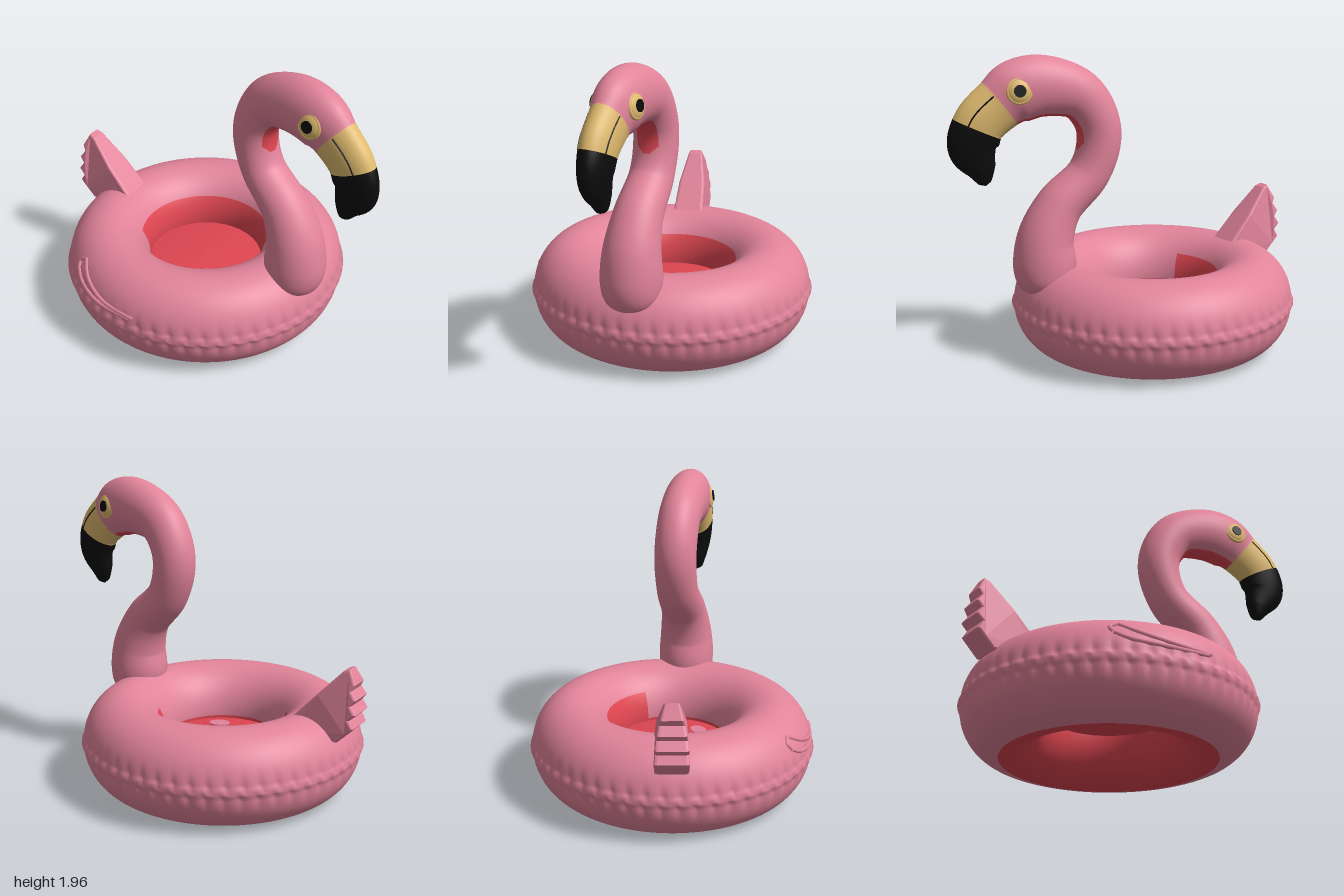
import * as THREE from 'three';

const mat = (name, color, side = THREE.FrontSide) => {
  const m = new THREE.MeshStandardMaterial({ color, side });
  m.name = name;
  return m;
};

// Surface from a rule f(u, v); pick(u, v) gives the material index of each cell.
function surface(f, nu, nv, wrapU, pick) {
  const pos = [], buckets = [[], [], [], []];
  const rows = wrapU ? nu : nu + 1;
  for (let i = 0; i < rows; i++)
    for (let j = 0; j < nv; j++) pos.push(...f(i / nu, j / nv));
  for (let i = 0; i < nu; i++) {
    for (let j = 0; j < nv; j++) {
      const i2 = (i + 1) % rows, j2 = (j + 1) % nv;
      const a = i * nv + j, b = i2 * nv + j, c = i2 * nv + j2, d = i * nv + j2;
      buckets[pick((i + 0.5) / nu, (j + 0.5) / nv)].push(a, b, c, a, c, d);
    }
  }
  const geo = new THREE.BufferGeometry();
  geo.setAttribute('position', new THREE.Float32BufferAttribute(pos, 3));
  geo.setIndex(buckets.flat());
  let start = 0;
  buckets.forEach((b, i) => {
    if (b.length) geo.addGroup(start, b.length, i);
    start += b.length;
  });
  geo.computeVertexNormals();
  return geo;
}

export function createModel() {
  const pink = mat('pink vinyl', 0xe2849a);
  const red = mat('red vinyl', 0xdf4651, THREE.DoubleSide);
  const yellow = mat('yellow beak', 0xdfb96e);
  const black = mat('black beak tip', 0x0c0c0c);
  const palette = [pink, red, yellow, black];

  const model = new THREE.Group();
  const add = (parent, name, geo, material) => {
    const mesh = new THREE.Mesh(geo, material);
    mesh.name = name;
    parent.add(mesh);
    return mesh;
  };

  // Swim ring, centred on its own axis
  const ring = new THREE.Group();
  ring.name = 'swimRing';
  ring.position.x = -0.067;
  model.add(ring);
  const R = 0.65, A = 0.272, H = 0.31, TAU = Math.PI * 2, pleats = 54;
  const tube = surface((u, v) => {
    let phi = u * TAU;
    if (phi > Math.PI) phi -= TAU;
    const th = v * TAU;
    // pinched pleats fading away from the welded seam
    const fade = Math.exp(-((phi / 0.26) ** 2));
    const pinch = Math.abs(Math.cos(th * pleats / 2 + (phi > 0 ? 0.5 : 0))) ** 5;
    const seam = Math.abs(phi) < 0.01 ? 0.012 : -0.018 * pinch * fade;
    const r = R + A * Math.cos(phi) + seam;
    return [r * Math.cos(th), H + H * Math.sin(phi), r * Math.sin(th)];
  }, 72, pleats * 6, true, (u, v) => {
    const phi = u * TAU, th = v * TAU;
    const backWall = Math.sin(th) < 0.05 && phi > 2.5;
    return (phi > Math.PI && phi < Math.PI * 1.52) || (backWall && phi <= Math.PI) ? 1 : 0;
  });
  add(ring, 'ringTube', tube, palette);

  // Slightly domed floor and its valve
  const floorProfile = [[0.385, 0.29], [0.28, 0.302], [0.14, 0.313], [0, 0.318]];
  add(ring, 'floor', new THREE.LatheGeometry(
    floorProfile.map(([x, y]) => new THREE.Vector2(x, y)), 64), red);
  const valve = add(ring, 'valve', new THREE.CylinderGeometry(0.07, 0.07, 0.009, 24), pink);
  valve.position.set(0.035, 0.312, 0.225);
  valve.scale.z = 0.7;

  // Raised feather welts on the side of the ring
  const feathers = [
    [[-0.80, 0.53], [-0.77, 0.47], [-0.66, 0.42], [-0.44, 0.40]],
    [[-0.85, 0.46], [-0.82, 0.42], [-0.70, 0.39], [-0.46, 0.39]],
    [[-0.80, 0.53], [-0.84, 0.50], [-0.85, 0.46]],
  ];
  feathers.forEach((pts) => {
    const path = new THREE.CatmullRomCurve3(pts.map(([px, y]) => {
      const x = px + 0.067;
      const r = R + A * Math.sqrt(1 - ((y - H) / H) ** 2);
      return new THREE.Vector3(x, y, Math.sqrt(Math.max(r * r - x * x, 0)));
    }));
    add(ring, 'wingFeather', new THREE.TubeGeometry(path, 24, 0.014, 8), pink);
  });

  // Tail: wedge with a zigzag back edge, narrowing to the top
  const tail = new THREE.Group();
  tail.name = 'tail';
  tail.rotation.y = Math.PI - 0.495;
  ring.add(tail);
  const outline = [[0.58, 0.52], [0.88, 0.5], [0.94, 0.56], [0.98, 0.60], [0.95, 0.65], [0.99, 0.69],
    [0.955, 0.74], [0.985, 0.78], [0.95, 0.83], [0.97, 0.87], [0.93, 0.945], [0.905, 0.935],
    [0.75, 0.77], [0.58, 0.59]];
  const tailGeo = new THREE.ExtrudeGeometry(
    new THREE.Shape(outline.map(([x, y]) => new THREE.Vector2(x, y))),
    { depth: 0.17, bevelThickness: 0.02, bevelSize: 0.012, bevelSegments: 2 });
  tailGeo.translate(0, 0, -0.085);
  const tp = tailGeo.attributes.position;
  for (let i = 0; i < tp.count; i++) {
    const k = THREE.MathUtils.clamp((tp.getY(i) - 0.6) / 0.36, 0, 1);
    tp.setZ(i, tp.getZ(i) * (1 - 0.6 * k * k) + 0.01);
  }
  tailGeo.computeVertexNormals();
  add(tail, 'tailFan', tailGeo, pink);

  // Neck, head and beak: one loft in its own upright plane
  const bird = new THREE.Group();
  bird.name = 'neckAndHead';
  bird.position.set(0.268, 0, 0.21);
  bird.rotation.y = -0.7275;
  model.add(bird);
  // forward, height, half depth, half width
  const stations = [
    [0.36, 0.44, 0.04, 0.04], [0.37, 0.50, 0.16, 0.16], [0.37, 0.62, 0.20, 0.19],
    [0.36, 0.80, 0.18, 0.18], [0.27, 1.00, 0.15, 0.155], [0.07, 1.20, 0.135, 0.14],
    [0.00, 1.40, 0.14, 0.14], [0.02, 1.55, 0.145, 0.14], [0.13, 1.70, 0.16, 0.14],
    [0.37, 1.765, 0.19, 0.145], [0.53, 1.735, 0.195, 0.135], [0.63, 1.67, 0.17, 0.11],
    [0.76, 1.55, 0.16, 0.10], [0.80, 1.41, 0.155, 0.085], [0.755, 1.27, 0.09, 0.06],
    [0.735, 1.19, 0.04, 0.035], [0.73, 1.17, 0.002, 0.002]];
  const last = stations.length - 1;
  const path = new THREE.CatmullRomCurve3(stations.map((s) => new THREE.Vector3(s[0], s[1], 0)));
  const size = new THREE.CatmullRomCurve3(
    stations.map((s) => new THREE.Vector3(s[2], s[3], 0)), false, 'catmullrom');
  const skin = (u, v) => {
    const p = path.getPoint(u), t = path.getTangent(u), r = size.getPoint(u);
    const c = Math.cos(v * TAU) * r.x;
    return [p.x + t.y * c, p.y - t.x * c, Math.sin(v * TAU) * r.y];
  };
  add(bird, 'neckHeadBeak', surface(skin, last * 10, 60, false, (u, v) => {
    const k = u * last, inner = Math.abs(v > 0.5 ? v - 1 : v) * TAU;
    if (k > 12.15) return 3;
    if (k > 11) return 2;
    return k > 5.6 && inner < Math.min(0.55, 0.2 + (k - 5.6)) ? 1 : 0;
  }), palette);

  // Eyes and mouth lines on both sides
  for (const side of [1, -1]) {
    const eye = new THREE.Group();
    eye.name = side > 0 ? 'rightEye' : 'leftEye';
    eye.position.set(0.535, 1.757, side * 0.122);
    eye.rotation.set(-0.15 * side, side > 0 ? 0.1 : Math.PI - 0.1, 0);
    bird.add(eye);
    add(eye, 'eyeball', new THREE.SphereGeometry(0.074, 28, 16), yellow).scale.z = 0.38;
    add(eye, 'eyeRim', new THREE.TorusGeometry(0.07, 0.012, 10, 32), yellow);
    const pupil = add(eye, 'pupil', new THREE.CylinderGeometry(0.037, 0.037, 0.009, 24), black);
    pupil.rotation.x = Math.PI / 2;
    pupil.position.z = 0.026;

    const mouth = [11.05, 11.3, 11.6, 11.9, 12.2].map((k) => {
      const p = skin(k / last, 0.33);
      return new THREE.Vector3(p[0], p[1], p[2] * side);
    });
    add(bird, 'mouthLine', new THREE.TubeGeometry(
      new THREE.CatmullRomCurve3(mouth), 16, 0.005, 6), black);
  }
  return model;
}
